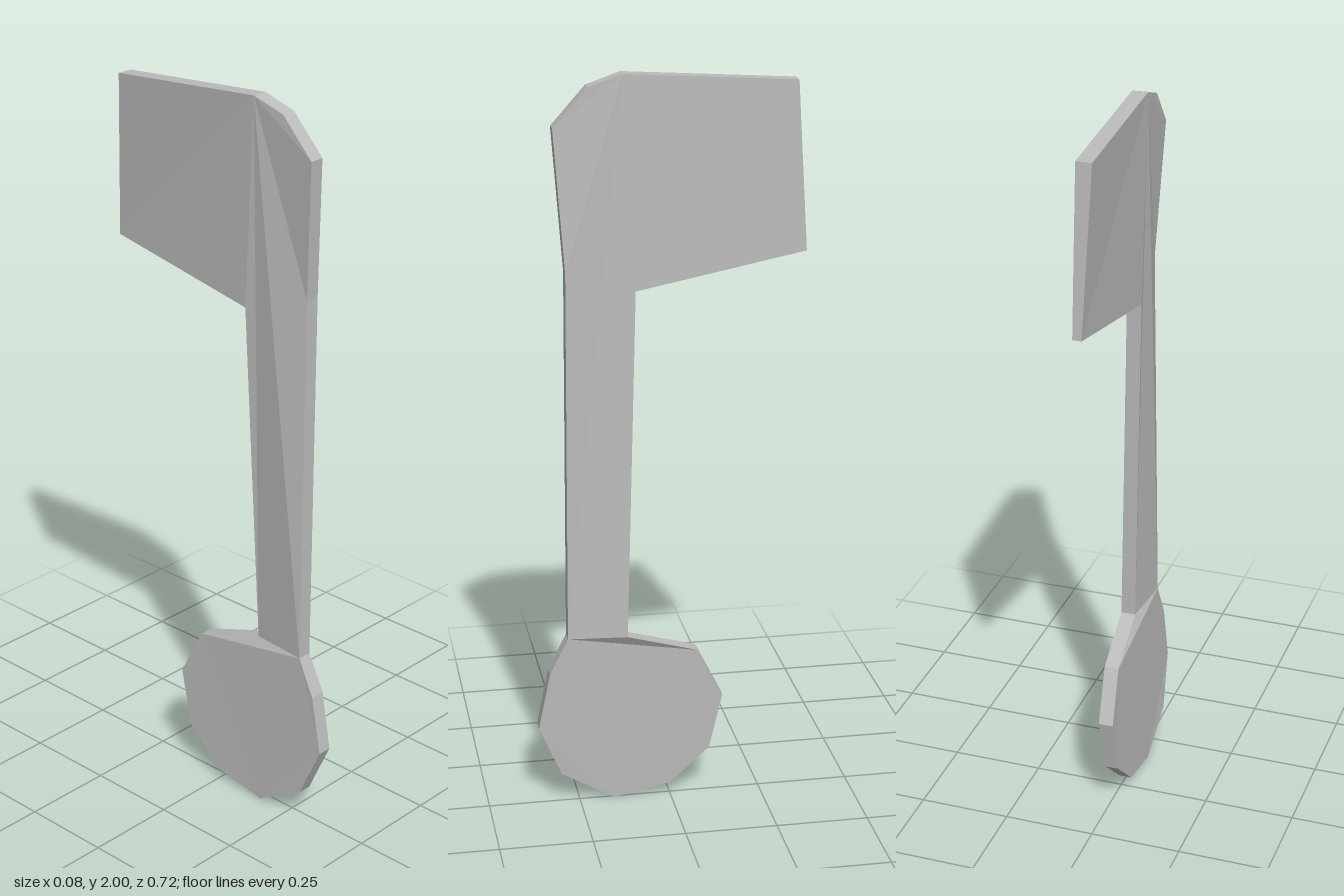
import * as THREE from 'three';

// Outline corners of the warped plate: [z, y, sideways offset of its middle, half thickness]
const OUTLINE = [
  // rounded top front corner and front edge of the stem
  [0.12, 2.0, -0.009, 0.021], [0.21, 1.97, -0.004, 0.02], [0.30, 1.87, 0.0, 0.02],
  [0.275, 1.5, 0.02, 0.02], [0.28, 0.49, 0.006, 0.02],
  // round foot
  [0.33, 0.39, 0.004, 0.021], [0.362, 0.23, 0.0, 0.02], [0.30, 0.085, -0.008, 0.02],
  [0.155, 0.0, -0.01, 0.018], [0.0, 0.03, -0.012, 0.018], [-0.11, 0.13, -0.01, 0.018],
  [-0.145, 0.29, -0.005, 0.02], [-0.075, 0.43, 0.002, 0.02],
  // back edge of the stem and the flag
  [0.12, 0.49, 0.02, 0.02], [0.09, 1.44, -0.005, 0.02],
  [-0.362, 1.525, -0.011, 0.012], [-0.335, 1.97, -0.022, 0.021],
];

export function createModel() {
  const group = new THREE.Group();
  const grey = new THREE.MeshStandardMaterial({ color: 0xbcbcbc });
  grey.name = 'grey';
  grey.flatShading = true;

  // Flat plate, turned so that its thickness runs along x
  const shape = new THREE.Shape(OUTLINE.map(([z, y]) => new THREE.Vector2(-z, y)));
  const geometry = new THREE.ExtrudeGeometry(shape, { depth: 1, bevelEnabled: false });
  geometry.rotateY(Math.PI / 2);

  // Warp: shift each corner sideways by its own offset and thickness
  const p = geometry.attributes.position;
  for (let i = 0; i < p.count; i++) {
    const corner = OUTLINE.find(([z, y]) => Math.hypot(z - p.getZ(i), y - p.getY(i)) < 0.005);
    p.setX(i, corner[2] + (p.getX(i) > 0.5 ? corner[3] : -corner[3]));
  }
  geometry.computeVertexNormals();

  const plate = new THREE.Mesh(geometry, grey);
  plate.name = 'notePlate';
  group.add(plate);
  return group;
}
